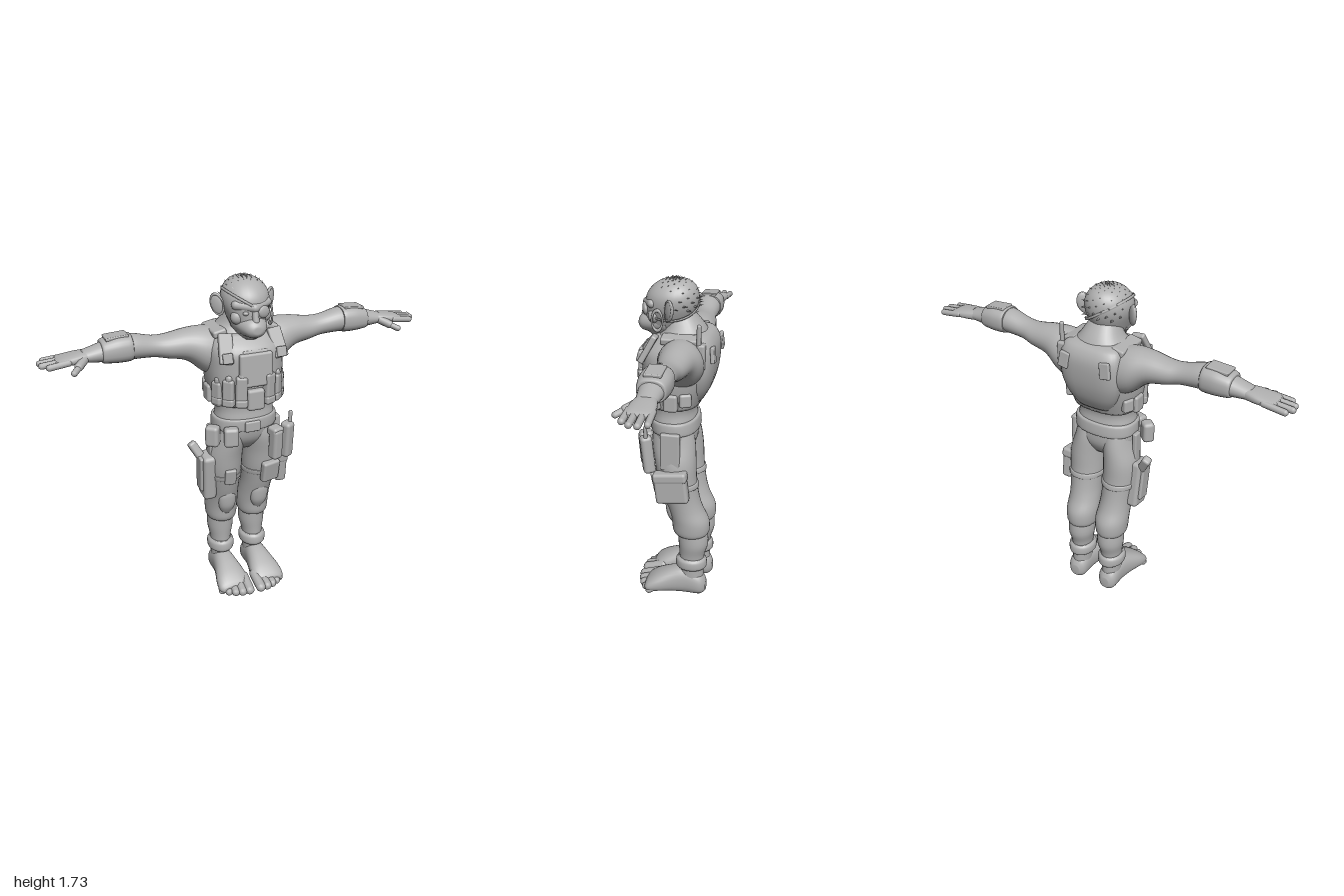
import * as THREE from 'three';
import { RoundedBoxGeometry } from 'three/addons/geometries/RoundedBoxGeometry.js';

const grey = new THREE.MeshStandardMaterial({ color: 0xb0b0b0 });
grey.name = 'plain grey';
let group;

function add(name, geometry) {
  const mesh = new THREE.Mesh(geometry, grey);
  mesh.name = name;
  group.add(mesh);
  return mesh;
}

// Smooth body through rounded cross-sections. Rows are [t, a, b, ra, rb];
// t runs along the axis: y -> (a, t, b), x -> (t, a, b), z -> (a, b, t).
function loft(name, axis, rows, { power = 2, side = 1, seg = 28, steps = 5 } = {}) {
  const pos = [], index = [], n = (rows.length - 1) * steps;
  const curves = [0, 1, 2, 3, 4].map((k) =>
    new THREE.SplineCurve(rows.map((r, i) => new THREE.Vector2(i, r[k]))));
  const put = (t, a, b) => {
    const p = axis === 'y' ? [a, t, b] : axis === 'x' ? [t, a, b] : [a, b, t];
    pos.push(p[0] * side, p[1], p[2]);
  };
  const round = (v) => Math.sign(v) * Math.abs(v) ** (2 / power);
  for (let i = 0; i <= n; i++) {
    const [t, a, b, ra, rb] = curves.map((c) => c.getPoint(i / n).y);
    for (let j = 0; j < seg; j++) {
      const w = (j / seg) * Math.PI * 2;
      put(t, a + ra * round(Math.cos(w)), b + rb * round(Math.sin(w)));
    }
  }
  const first = rows[0], last = rows[rows.length - 1], c = pos.length / 3;
  put(first[0], first[1], first[2]);
  put(last[0], last[1], last[2]);
  // faces are turned outward for every axis, direction and side
  const flip = (axis === 'y' ? -1 : 1) * side * Math.sign(last[0] - first[0]) < 0;
  const tri = (p, q, r) => (flip ? index.push(p, r, q) : index.push(p, q, r));
  for (let j = 0; j < seg; j++) {
    const k = (j + 1) % seg;
    for (let i = 0; i < n; i++) {
      const p = i * seg + j, q = i * seg + k;
      tri(p, q, q + seg);
      tri(p, q + seg, p + seg);
    }
    tri(c, k, j);
    tri(c + 1, n * seg + j, n * seg + k);
  }
  const g = new THREE.BufferGeometry();
  g.setAttribute('position', new THREE.Float32BufferAttribute(pos, 3));
  g.setIndex(index);
  g.computeVertexNormals();
  return add(name, g);
}

function box(name, size, at, turn = [0, 0, 0]) {
  const m = add(name, new RoundedBoxGeometry(...size, 2, Math.min(...size) * 0.3));
  m.position.set(...at);
  m.rotation.set(...turn);
  return m;
}

function ball(name, radii, at, turn = [0, 0, 0]) {
  const m = add(name, new THREE.SphereGeometry(1, 20, 14));
  m.scale.set(...radii);
  m.position.set(...at);
  m.rotation.set(...turn);
  return m;
}

function rod(name, from, to, r) {
  const p = new THREE.Vector3(...from), q = new THREE.Vector3(...to);
  const d = q.clone().sub(p), m = add(name, new THREE.CapsuleGeometry(r, d.length(), 5, 10));
  m.position.copy(p).lerp(q, 0.5);
  m.quaternion.setFromUnitVectors(new THREE.Vector3(0, 1, 0), d.normalize());
  return m;
}

function buildTorso() {
  loft('torso', 'y', [[0.83, 0, -0.01, 0.07, 0.06], [0.9, 0, 0, 0.155, 0.105], [1, 0, 0.01, 0.158, 0.115],
    [1.08, 0, 0.012, 0.15, 0.108], [1.2, 0, 0, 0.18, 0.14], [1.32, 0, -0.01, 0.195, 0.16],
    [1.42, 0, -0.03, 0.18, 0.14], [1.49, 0, -0.04, 0.11, 0.1], [1.56, 0, -0.01, 0.07, 0.075]], { power: 2.3 });
  loft('vest', 'y', [[1.1, 0, 0.01, 0.166, 0.132], [1.2, 0, 0, 0.188, 0.16], [1.3, 0, -0.01, 0.195, 0.178],
    [1.39, 0, -0.015, 0.188, 0.178], [1.46, 0, -0.045, 0.15, 0.135]], { power: 2.6 });
  loft('backPlate', 'y', [[1.13, 0, -0.08, 0.1, 0.06], [1.2, 0, -0.1, 0.14, 0.078], [1.29, 0, -0.12, 0.165, 0.082],
    [1.4, 0, -0.13, 0.165, 0.076], [1.46, 0, -0.115, 0.15, 0.065], [1.48, 0, -0.1, 0.11, 0.04]], { power: 3 });
  box('chestPanel', [0.17, 0.17, 0.04], [0, 1.3, 0.162], [-0.04, 0, 0]);
  box('chestFlap', [0.13, 0.05, 0.03], [0, 1.37, 0.155], [-0.35, 0, 0]);
  box('bellyPouch', [0.09, 0.11, 0.05], [0, 1.145, 0.16]);
  for (const s of [-1, 1]) {
    box('frontShoulderStrap', [0.07, 0.15, 0.03], [s * 0.135, 1.405, 0.115], [-0.5, 0, s * 0.12]);
    box('topShoulderStrap', [0.07, 0.035, 0.18], [s * 0.135, 1.46, -0.04], [0, 0, -s * 0.2]);
    box('backShoulderStrap', [0.055, 0.08, 0.02], [s * 0.115, 1.39, -0.2], [0.1, 0, s * 0.15]);
    box('strapBuckle', [0.05, 0.05, 0.02], [s * 0.14, 1.37, 0.155], [-0.25, 0, 0]);
    // tall pouches wrapped around the ribs
    [0.4, 0.75, 1.1].forEach((a, i) => {
      const x = s * 0.185 * Math.sin(a), z = 0.175 * Math.cos(a);
      box('ammoPouch', [0.058, 0.15 - i * 0.01, 0.045], [x, 1.2 - i * 0.015, z], [0.05, s * a, 0]);
      box('ammoPouchFlap', [0.062, 0.045, 0.05], [x, 1.135, z], [0, s * a, 0]);
      rod('magazine', [x, 1.2, z + 0.005], [x, 1.275 - i * 0.015, z + 0.005], 0.018);
    });
    box('sidePouch', [0.045, 0.09, 0.07], [s * 0.178, 1.15, -0.005]);
    box('sidePouch', [0.04, 0.07, 0.06], [s * 0.168, 1.165, -0.075], [0, s * 0.4, 0]);
  }
  rod('backAntenna', [0.165, 1.3, -0.14], [0.165, 1.54, -0.14], 0.011);
  box('backRadio', [0.05, 0.13, 0.04], [0.155, 1.39, -0.15]);
}

function buildHead() {
  loft('head', 'y', [[1.44, 0, 0.08, 0.04, 0.05], [1.48, 0, 0.06, 0.07, 0.1], [1.54, 0, 0.04, 0.096, 0.12],
    [1.6, 0, 0.027, 0.115, 0.13], [1.65, 0, 0.02, 0.113, 0.125], [1.69, 0, 0.012, 0.088, 0.1],
    [1.715, 0, 0.008, 0.05, 0.06], [1.722, 0, 0.008, 0.005, 0.005]]);
  loft('muzzle', 'z', [[0.04, 0, 1.515, 0.085, 0.065], [0.11, 0, 1.51, 0.076, 0.058],
    [0.165, 0, 1.503, 0.055, 0.045], [0.188, 0, 1.5, 0.03, 0.024], [0.192, 0, 1.5, 0.008, 0.008]]);
  ball('chin', [0.045, 0.025, 0.045], [0, 1.468, 0.11]);
  rod('noseBridge', [0, 1.59, 0.15], [0, 1.54, 0.163], 0.017);
  for (const s of [-1, 1]) {
    rod('brow', [0, 1.6, 0.15], [s * 0.08, 1.612, 0.108], 0.022);
    ball('cheek', [0.035, 0.035, 0.03], [s * 0.068, 1.55, 0.1]);
    ball('eye', [0.016, 0.011, 0.012], [s * 0.042, 1.577, 0.143]);
    ball('ear', [0.036, 0.056, 0.014], [s * 0.136, 1.597, 0.01], [0, s * 0.7, -s * 0.3]);
    const rim = add('earRim', new THREE.TorusGeometry(0.04, 0.006, 8, 20));
    rim.position.set(s * 0.137, 1.598, 0.014);
    rim.rotation.set(0, s * 0.7, -s * 0.3);
    rim.scale.set(0.78, 1.25, 1);
  }
  ball('eyePatch', [0.036, 0.03, 0.014], [0.045, 1.578, 0.15], [0, 0.35, -0.3]);
  const strap = add('patchStrap', new THREE.TorusGeometry(0.12, 0.004, 6, 40));
  strap.position.set(0, 1.605, 0.026);
  strap.rotation.set(Math.PI / 2, -0.55, 0);
  strap.scale.set(1.05, 1.11, 1.8);
  const ring = add('earring', new THREE.TorusGeometry(0.026, 0.005, 8, 24));
  ring.position.set(0.112, 1.54, 0.075);
  ring.rotation.y = Math.PI / 2;
  ring.scale.y = 1.9;
  // short tufts swept backward over the crown and nape
  for (let i = 0; i < 110; i++) {
    const u = (i + 0.5) / 110, a = i * 2.4, lift = Math.cos(u * 1.8);
    const r = Math.sqrt(1 - lift * lift), x = r * Math.cos(a), z = r * Math.sin(a);
    if (z > 0.55 || (lift < 0.55 && z > -0.2)) continue;
    const tuft = add('hairTuft', new THREE.ConeGeometry(0.011, 0.05, 4));
    tuft.position.set(x * 0.112, 1.607 + lift * 0.108, 0.018 + z * 0.122);
    tuft.quaternion.setFromUnitVectors(new THREE.Vector3(0, 1, 0),
      new THREE.Vector3(x * 0.5, lift * 0.5 + 0.1, z * 0.5 - 0.6).normalize());
  }
}

function buildArm(side) {
  loft('arm', 'x', [[0.08, 1.33, -0.05, 0.13, 0.11], [0.19, 1.36, -0.055, 0.118, 0.112], [0.28, 1.395, -0.055, 0.08, 0.088],
    [0.38, 1.4, -0.055, 0.06, 0.07], [0.45, 1.41, -0.05, 0.053, 0.06], [0.55, 1.425, -0.045, 0.062, 0.068],
    [0.63, 1.424, -0.045, 0.058, 0.066], [0.72, 1.413, -0.045, 0.042, 0.054], [0.79, 1.407, -0.045, 0.028, 0.046]], { side });
  loft('forearmGuard', 'x', [[0.555, 1.426, -0.045, 0.062, 0.07], [0.575, 1.426, -0.045, 0.066, 0.075],
    [0.63, 1.425, -0.045, 0.065, 0.076], [0.69, 1.42, -0.045, 0.055, 0.067], [0.7, 1.418, -0.045, 0.047, 0.058]], { side, power: 2.5 });
  box('guardPlate', [0.11, 0.016, 0.08], [side * 0.625, 1.485, -0.045], [0, 0, -side * 0.07]);
  loft('palm', 'x', [[0.76, 1.408, -0.045, 0.028, 0.045], [0.82, 1.405, -0.045, 0.026, 0.058],
    [0.89, 1.4, -0.045, 0.019, 0.062], [0.915, 1.397, -0.045, 0.01, 0.055]], { side, power: 2.5 });
  [0.962, 0.982, 0.978, 0.95].forEach((tip, i) => {
    const z = -0.095 + i * 0.034;
    rod('finger', [side * 0.86, 1.401, z], [side * tip, 1.391, z * 1.08 + 0.003], 0.0155);
  });
  rod('thumbBase', [side * 0.785, 1.402, -0.01], [side * 0.82, 1.385, 0.03], 0.021);
  rod('thumb', [side * 0.815, 1.386, 0.028], [side * 0.85, 1.37, 0.066], 0.015);
}

function buildLeg(side) {
  loft('trouserLeg', 'y', [[0.98, 0.075, 0.005, 0.075, 0.1], [0.9, 0.084, 0, 0.083, 0.112], [0.8, 0.1, -0.012, 0.094, 0.108],
    [0.7, 0.102, -0.022, 0.094, 0.102], [0.6, 0.098, -0.043, 0.085, 0.095], [0.53, 0.094, -0.065, 0.084, 0.093],
    [0.46, 0.092, -0.09, 0.087, 0.1], [0.4, 0.092, -0.095, 0.083, 0.098], [0.375, 0.092, -0.095, 0.074, 0.086],
    [0.37, 0.092, -0.095, 0.06, 0.07]], { side });
  loft('shin', 'y', [[0.42, 0.092, -0.1, 0.065, 0.078], [0.32, 0.093, -0.108, 0.07, 0.08],
    [0.23, 0.095, -0.1, 0.055, 0.066], [0.08, 0.097, -0.1, 0.05, 0.065]], { side });
  loft('kneePad', 'y', [[0.43, 0.092, -0.015, 0.025, 0.02], [0.48, 0.092, 0, 0.045, 0.033],
    [0.54, 0.094, 0.012, 0.045, 0.03], [0.57, 0.094, 0.02, 0.025, 0.02]], { side });
  loft('ankleCuff', 'y', [[0.165, 0.095, -0.098, 0.06, 0.074], [0.18, 0.095, -0.098, 0.071, 0.084],
    [0.215, 0.095, -0.098, 0.071, 0.082], [0.23, 0.095, -0.098, 0.058, 0.07]], { side });
  loft('foot', 'z', [[-0.18, 0.098, 0.055, 0.025, 0.03], [-0.15, 0.098, 0.065, 0.052, 0.064], [-0.07, 0.098, 0.08, 0.057, 0.08],
    [0, 0.098, 0.074, 0.068, 0.074], [0.08, 0.1, 0.056, 0.086, 0.056], [0.13, 0.102, 0.04, 0.085, 0.038],
    [0.15, 0.102, 0.035, 0.065, 0.02]], { side, power: 2.3 });
  // toes from the big one inward to the little one outward
  [0.032, 0.07, 0.104, 0.135, 0.164].forEach((x, i) => {
    const r = 0.027 - i * 0.002;
    rod('toe', [side * x, 0.058 - i * 0.004, 0.09], [side * (x * 1.04), r + 0.003, 0.18 - i * i * 0.0035], r);
  });
}

function buildGear() {
  loft('belt', 'y', [[0.955, 0, 0.005, 0.16, 0.116], [0.965, 0, 0.005, 0.17, 0.125],
    [1.015, 0, 0.008, 0.168, 0.124], [1.025, 0, 0.008, 0.158, 0.116]], { power: 2.3 });
  box('beltBuckle', [0.08, 0.055, 0.025], [0, 0.985, 0.13]);
  // right hip: belt pouches and a thigh holster
  box('beltPouch', [0.07, 0.11, 0.06], [-0.195, 0.945, 0.08], [0, -0.7, 0]);
  box('beltPouch', [0.075, 0.1, 0.055], [-0.115, 0.945, 0.13], [0, -0.3, 0]);
  box('holster', [0.07, 0.26, 0.11], [-0.195, 0.68, -0.01], [0.12, 0, 0.03]);
  box('holsterFace', [0.025, 0.2, 0.07], [-0.232, 0.7, -0.01], [0.12, 0, 0.03]);
  box('pistolGrip', [0.045, 0.11, 0.045], [-0.245, 0.82, -0.03], [-0.3, 0, 0.5]);
  box('holsterStrap', [0.025, 0.2, 0.05], [-0.178, 0.87, 0]);
  // left hip: radio, tall pouch and a thigh bag
  box('radio', [0.06, 0.2, 0.06], [0.2, 0.87, 0.11], [0.1, 0.5, 0]);
  rod('radioAntenna', [0.213, 0.95, 0.115], [0.217, 1.02, 0.115], 0.01);
  box('hipPouch', [0.06, 0.17, 0.06], [0.125, 0.87, 0.14], [0.08, 0.3, 0]);
  box('hipPouchFlap', [0.066, 0.05, 0.066], [0.125, 0.94, 0.135], [0.08, 0.3, 0]);
  box('sidePanel', [0.03, 0.2, 0.1], [0.175, 0.88, 0]);
  box('thighBag', [0.06, 0.17, 0.17], [0.195, 0.69, -0.01], [0.12, 0, 0]);
  box('thighBagFlap', [0.066, 0.055, 0.176], [0.196, 0.75, -0.004], [0.12, 0, 0]);
  box('frontThighPouch', [0.1, 0.12, 0.04], [0.12, 0.69, 0.085], [0.2, 0.2, 0]);
  box('frontThighTab', [0.06, 0.09, 0.025], [-0.1, 0.69, 0.08], [0.2, -0.1, 0]);
  for (const s of [-1, 1]) {
    loft('thighStrap', 'y', [[0.66, 0.101, -0.03, 0.09, 0.099], [0.664, 0.101, -0.03, 0.096, 0.105],
      [0.686, 0.102, -0.025, 0.098, 0.106], [0.69, 0.102, -0.024, 0.092, 0.1]], { side: s });
  }
}

export function createModel() {
  group = new THREE.Group();
  group.name = 'apeSoldier';
  buildTorso();
  buildHead();
  buildGear();
  for (const side of [-1, 1]) {
    buildArm(side);
    buildLeg(side);
  }
  return group;
}
